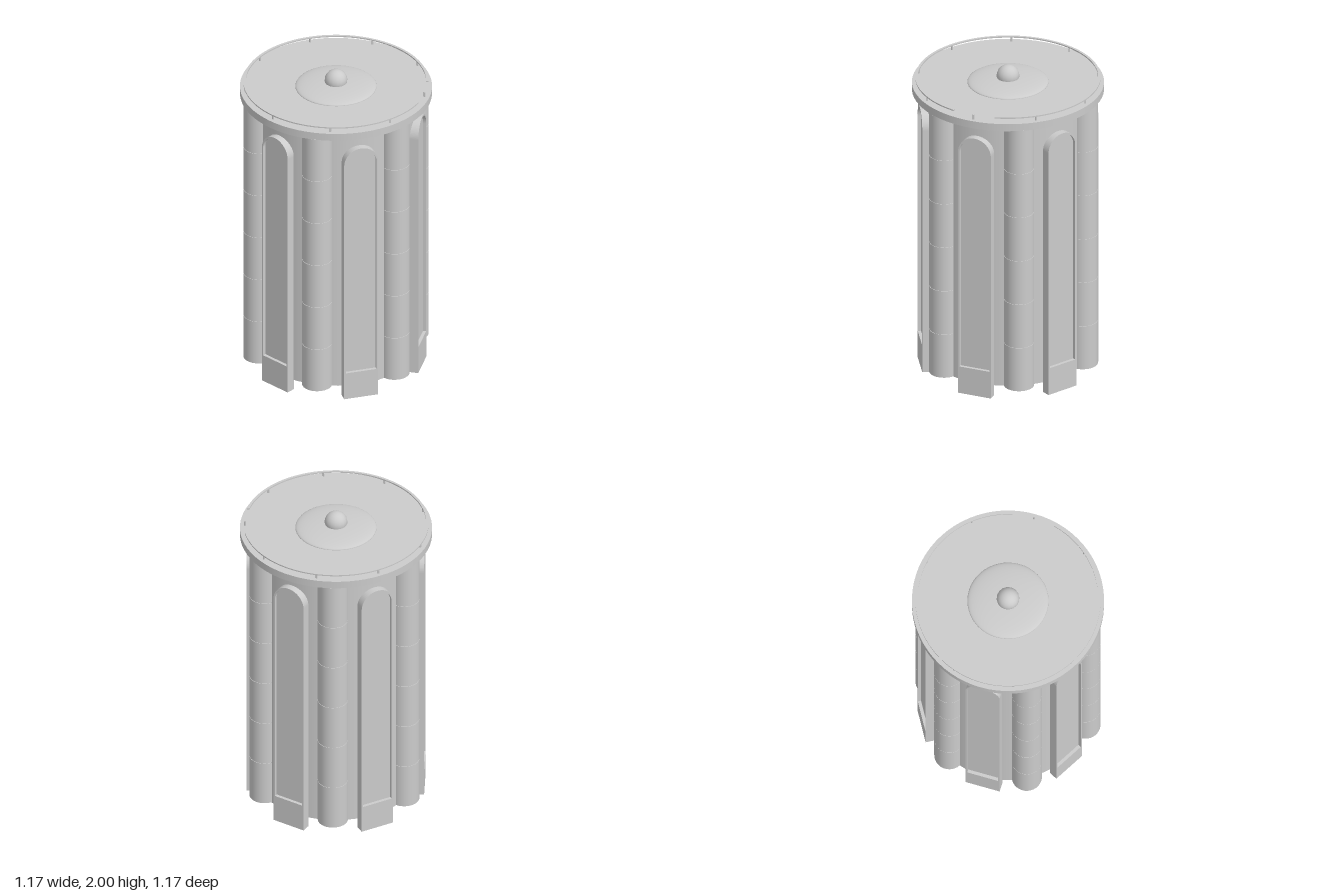
import * as THREE from 'three';

const grey = new THREE.MeshStandardMaterial({ color: 0xcccccc });
const greyDouble = new THREE.MeshStandardMaterial({ color: 0xcccccc, side: THREE.DoubleSide });

const WALL_BOTTOM = 0.066, WALL_TOP = 1.84, ROOF_TOP = 1.888;

function add(parent, name, geometry, x = 0, y = 0, z = 0, material = grey) {
  const mesh = new THREE.Mesh(geometry, material);
  mesh.name = name;
  mesh.position.set(x, y, z);
  parent.add(mesh);
  return mesh;
}

// Round-headed outline: straight sides with a semicircle on top
function archPath(PathType, halfWidth, bottom, spring) {
  const p = new PathType();
  p.moveTo(-halfWidth, bottom);
  p.lineTo(halfWidth, bottom);
  p.lineTo(halfWidth, spring);
  p.absarc(0, spring, halfWidth, 0, Math.PI, false);
  p.lineTo(-halfWidth, bottom);
  return p;
}

const extrude = (shape, depth) =>
  new THREE.ExtrudeGeometry(shape, { depth, bevelEnabled: false, curveSegments: 20 });

// Column of six stacked drums with fine joints between them
function createColumn() {
  const column = new THREE.Group();
  column.name = 'column';
  const count = 6, radius = 0.0926, gap = 0.004;
  const step = (WALL_TOP - WALL_BOTTOM) / count;
  const drum = new THREE.CylinderGeometry(radius, radius, step - gap, 32);
  for (let i = 0; i < count; i++) {
    add(column, 'columnDrum', drum, 0, WALL_BOTTOM + (i + 0.5) * step, 0);
  }
  const coreHeight = WALL_TOP - WALL_BOTTOM - 0.02;
  add(column, 'columnCore', new THREE.CylinderGeometry(radius - 0.003, radius - 0.003, coreHeight, 32),
    0, (WALL_TOP + WALL_BOTTOM) / 2, 0);
  return column;
}

// Arched bay: frame with solid base block and a slightly recessed panel
function createBay() {
  const bay = new THREE.Group();
  bay.name = 'archedBay';
  const back = 0.487, front = 0.542, panelFront = 0.522, spring = 1.64;
  const frame = archPath(THREE.Shape, 0.108, 0, spring);
  frame.holes.push(archPath(THREE.Path, 0.098, 0.18, spring));
  add(bay, 'archFrame', extrude(frame, front - back), 0, 0, back);
  add(bay, 'archPanel', extrude(archPath(THREE.Shape, 0.098, 0.18, spring), panelFront - back), 0, 0, back);
  return bay;
}

// Railing: flat ring with a gap on the left side, carried by nine posts
function createRailing() {
  const railing = new THREE.Group();
  railing.name = 'railing';
  const gap = 0.24, inner = 0.55, outer = 0.565;
  const ring = new THREE.Shape();
  ring.absarc(0, 0, outer, gap, Math.PI * 2 - gap, false);
  ring.absarc(0, 0, inner, Math.PI * 2 - gap, gap, true);
  const geometry = new THREE.ExtrudeGeometry(ring, { depth: 0.008, bevelEnabled: false, curveSegments: 72 });
  geometry.rotateX(-Math.PI / 2);
  add(railing, 'handRail', geometry, 0, 1.914, 0);
  const post = new THREE.CylinderGeometry(0.006, 0.006, 0.034, 8);
  for (let i = 0; i < 9; i++) {
    const a = (i / 9) * Math.PI * 2;
    add(railing, 'railPost', post, 0.556 * Math.cos(a), ROOF_TOP + 0.015, 0.556 * Math.sin(a));
  }
  return railing;
}

export function createModel() {
  const model = new THREE.Group();
  model.name = 'roundTower';

  // Hollow drum wall
  const wallHeight = WALL_TOP - WALL_BOTTOM;
  add(model, 'wall', new THREE.CylinderGeometry(0.5, 0.5, wallHeight, 72, 1, true),
    0, WALL_BOTTOM + wallHeight / 2, 0, greyDouble);

  // Six columns alternating with six arched bays
  for (let i = 0; i < 6; i++) {
    const angle = (i * Math.PI) / 3;
    const column = createColumn();
    column.position.set(0.492 * Math.sin(angle), 0, 0.492 * Math.cos(angle));
    column.rotation.y = angle;
    model.add(column);
    const bay = createBay();
    bay.rotation.y = angle + Math.PI / 6;
    model.add(bay);
  }

  // Roof slab, shallow dome and ball finial
  add(model, 'roofSlab', new THREE.CylinderGeometry(0.586, 0.586, ROOF_TOP - WALL_TOP, 72),
    0, (ROOF_TOP + WALL_TOP) / 2, 0);
  const dome = new THREE.SphereGeometry(0.248, 48, 12, 0, Math.PI * 2, 0, Math.PI / 2);
  dome.scale(1, 0.13, 1);
  add(model, 'dome', dome, 0, ROOF_TOP, 0);
  add(model, 'finialBall', new THREE.SphereGeometry(0.07, 16, 12), 0, 1.93, 0);

  model.add(createRailing());
  return model;
}
